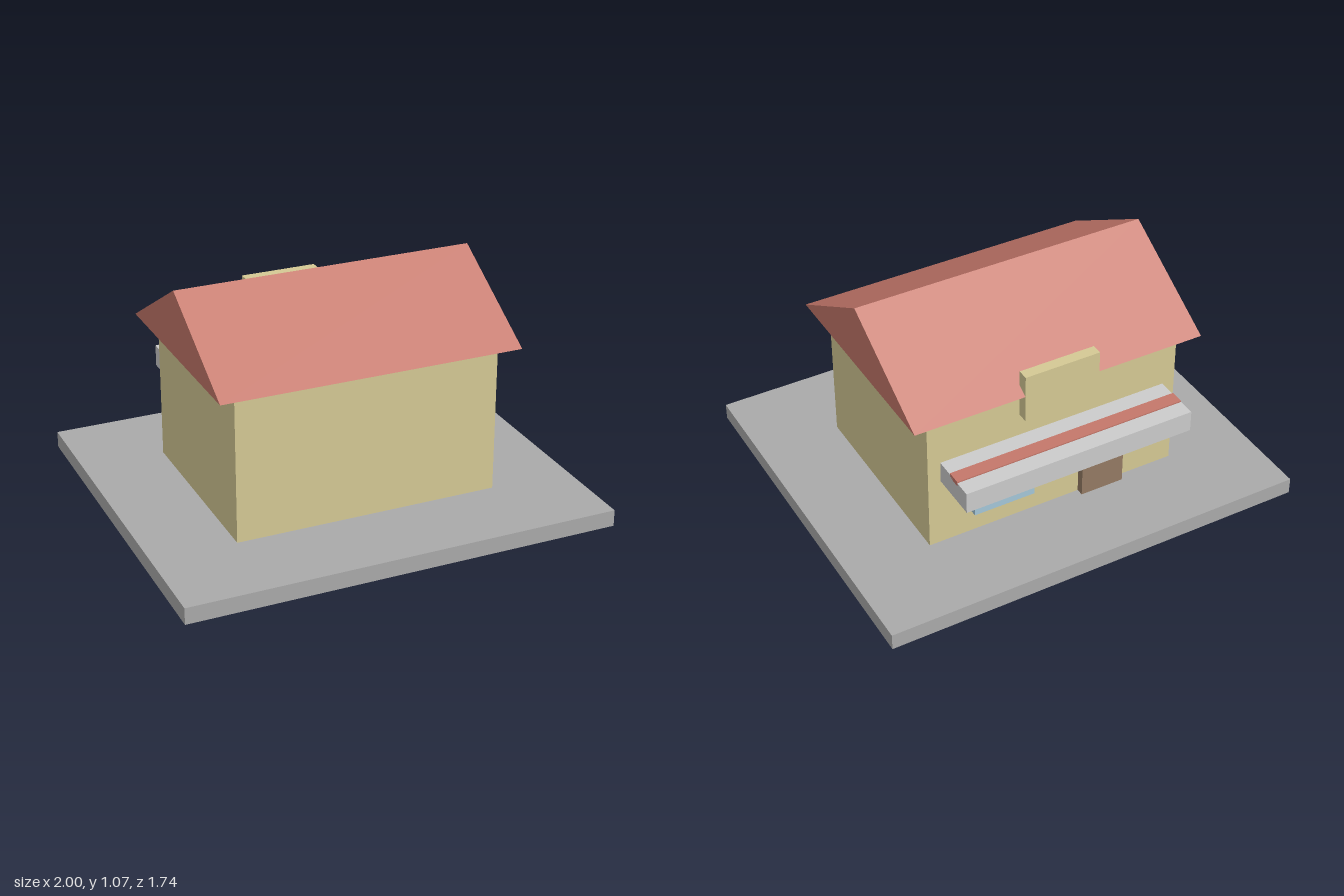
import * as THREE from 'three';

const material = (color) => new THREE.MeshStandardMaterial({ color, flatShading: true });
const paint = {
  slab: material(0xaaaaaa),
  wall: material(0xd4c994),
  roof: material(0xc4776a),
  trim: material(0xdcdcdc),
  glass: material(0xa4c6d8),
  wood: material(0x937a63),
};

// Box given by its extents along each axis
function box(name, [x0, x1], [y0, y1], [z0, z1], mat) {
  const mesh = new THREE.Mesh(new THREE.BoxGeometry(x1 - x0, y1 - y0, z1 - z0), mat);
  mesh.position.set((x0 + x1) / 2, (y0 + y1) / 2, (z0 + z1) / 2);
  mesh.name = name;
  return mesh;
}

// Solid gable prism with its ridge along x
function gableRoof(halfLength, halfDepth, eaves, ridge) {
  const shape = new THREE.Shape();
  shape.moveTo(-halfDepth, eaves);
  shape.lineTo(halfDepth, eaves);
  shape.lineTo(0, ridge);
  shape.closePath();
  const geometry = new THREE.ExtrudeGeometry(shape, { depth: 2 * halfLength, bevelEnabled: false });
  geometry.translate(0, 0, -halfLength);
  geometry.rotateY(Math.PI / 2);
  const mesh = new THREE.Mesh(geometry, paint.roof);
  mesh.name = 'roof';
  return mesh;
}

export function createModel() {
  const model = new THREE.Group();
  model.name = 'shop';

  // Ground slab, body and roof
  model.add(
    box('groundSlab', [-1, 1], [0, 0.077], [-0.87, 0.87], paint.slab),
    box('walls', [-0.613, 0.613], [0.077, 0.766], [-0.465, 0.465], paint.wall),
    gableRoof(0.698, 0.527, 0.764, 1.07),
  );

  // Shop side: door, window and striped canopy
  model.add(
    box('door', [-0.34, -0.13], [0.077, 0.44], [-0.5, -0.46], paint.wood),
    box('window', [0.115, 0.41], [0.188, 0.44], [-0.5, -0.46], paint.glass),
    box('canopy', [-0.553, 0.553], [0.415, 0.516], [-0.695, -0.46], paint.trim),
    box('canopyStripe', [-0.553, 0.553], [0.5, 0.522], [-0.615, -0.55], paint.roof),
  );

  // Blank sign board held by a pair of brackets that reach through the eaves
  model.add(box('signBoard', [-0.18, 0.18], [0.637, 0.865], [-0.528, -0.477], paint.wall));
  for (const [side, name] of [[1, 'leftSignBracket'], [-1, 'rightSignBracket']]) {
    const x = 0.064 * side;
    model.add(box(name, [x - 0.053, x + 0.053], [0.7, 0.815], [-0.478, -0.44], paint.wall));
  }

  return model;
}
